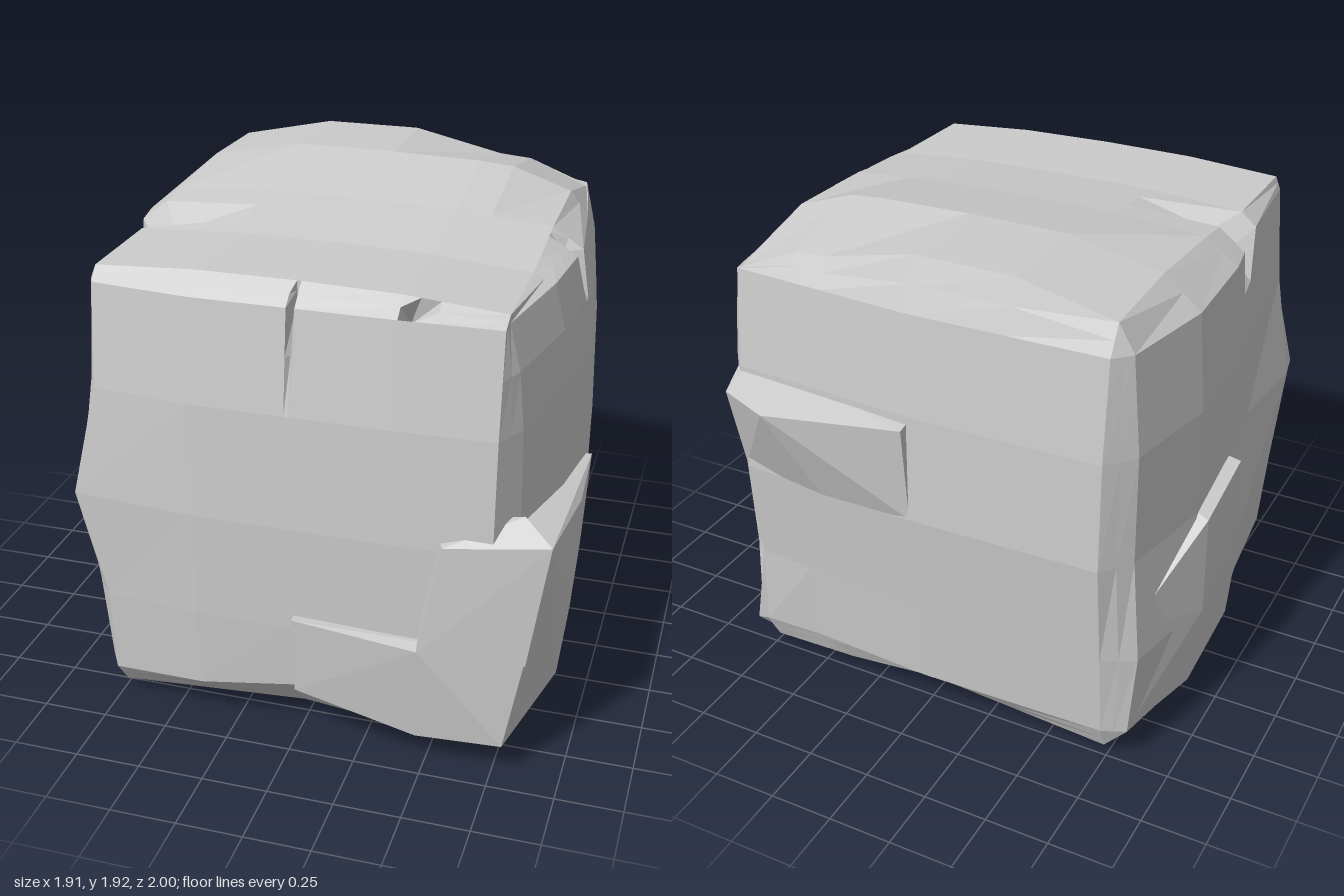
import * as THREE from 'three';
import { ConvexGeometry } from 'three/addons/geometries/ConvexGeometry.js';

// Grid lines of the block; the outermost entries stand for the worn edges
const LINES = [
  [-1, -0.74, -0.37, -0.015, 0, 0.015, 0.37, 0.43, 0.5, 0.73, 1],
  [0, 0.15, 0.5, 0.92, 1.35, 1.56, 1.73, 2],
  [-1, -0.75, -0.37, 0.03, 0.08, 0.11, 0.16, 0.28, 0.4, 0.8, 1],
];

// Piecewise linear profile through [position, value] pairs
function profile(points, t) {
  if (t <= points[0][0]) return points[0][1];
  for (let i = 1; i < points.length; i++) {
    const [a, va] = points[i - 1], [b, vb] = points[i];
    if (t <= b) return va + (vb - va) * (t - a) / (b - a);
  }
  return points[points.length - 1][1];
}

// Each face is the sum of two profiles: [axis, profile], [axis, profile]
const FACES = {
  right: [[1, [[0.15, 0.88], [0.5, 0.9], [0.92, 0.92], [1.35, 0.91], [1.56, 0.89], [1.73, 0.85]]],
    [2, [[-0.75, -0.11], [-0.37, -0.05], [0, 0], [0.4, -0.04], [0.8, -0.12]]]],
  left: [[1, [[0.15, -0.9], [0.5, -0.93], [0.92, -0.9], [1.35, -0.9], [1.73, -0.87]]],
    [2, [[-0.75, 0.07], [-0.37, -0.01], [0, 0], [0.4, 0.07], [0.8, 0.11]]]],
  top: [[0, [[-0.74, 1.81], [-0.37, 1.83], [0, 1.83], [0.37, 1.82], [0.73, 1.79]]],
    [2, [[-0.75, 0.085], [-0.37, 0.09], [0, 0.02], [0.4, -0.03], [0.8, -0.03]]]],
  bottom: [[0, [[-0.74, 0.02], [0, 0.07], [0.37, 0.03], [0.73, 0.02]]],
    [2, [[-0.75, 0.03], [-0.37, 0.03], [0, -0.02], [0.4, 0], [0.8, 0.02]]]],
  front: [[1, [[0.15, 0.92], [0.5, 0.94], [0.92, 0.95], [1.35, 0.93], [1.73, 0.88]]],
    [0, [[-0.74, -0.04], [-0.37, 0], [0.37, 0], [0.73, -0.01]]]],
  back: [[1, [[0.15, -0.81], [0.5, -0.84], [0.92, -0.88], [1.35, -0.87], [1.73, -0.83]]],
    [0, [[-0.74, 0.02], [-0.37, 0.01], [0, 0], [0.73, 0.04]]]],
};
const FACE_NAMES = [['left', 'right'], ['bottom', 'top'], ['back', 'front']];

// Cracks and chips: centre, radius, push
const CHIPS = [
  [[0, 1.765, 0.84], 0.012, [0, -0.1, -0.15]],       // front crack
  [[0, 1.73, 0.88], 0.012, [0, 0, -0.08]],
  [[0, 1.56, 0.903], 0.012, [0, 0, -0.02]],
  [[0.43, 1.76, 0.84], 0.04, [-0.04, -0.08, -0.06]], // front chip
  [[0.785, 1.76, 0.08], 0.02, [-0.06, -0.08, 0]],    // right crack
  [[0.84, 1.73, 0.08], 0.02, [-0.06, 0, 0]],
  [[-0.78, 1.76, 0.28], 0.06, [0.08, -0.06, 0]],     // left chip
  [[-0.74, 0.92, 0.91], 0.03, [-0.1, 0, 0]],         // left front corner
  [[-0.765, 0.92, 0.855], 0.03, [-0.1, 0, 0]],
  [[-0.79, 0.92, 0.8], 0.03, [-0.07, 0, 0]],
  [[0.755, 0.5, -0.775], 0.03, [-0.04, 0, 0]],       // right back corner
  [[0.75, 0.15, -0.76], 0.03, [0.02, 0, -0.02]],
  [[0.73, 1.875, -0.75], 0.04, [0, -0.15, 0]],       // sunken back corners of the top
  [[0.73, 1.88, -0.37], 0.04, [0, -0.06, 0]],
  [[0.43, 1.9, -0.75], 0.1, [0, -0.07, 0]],
  [[-0.74, 1.895, -0.75], 0.04, [0, -0.06, 0]],
  [[-0.74, 1.9, -0.37], 0.04, [0, -0.05, 0]],
];

function blockPoint(index) {
  const ends = [0, 1, 2].filter(a => index[a] === 0 || index[a] === LINES[a].length - 1);
  // Edges and corners sit halfway between their neighbours, which makes a chamfer
  if (ends.length > 1) {
    const sum = new THREE.Vector3();
    for (const a of ends) {
      const inner = [...index];
      inner[a] += inner[a] === 0 ? 1 : -1;
      sum.add(blockPoint(inner));
    }
    return sum.divideScalar(ends.length);
  }
  const axis = ends[0], p = index.map((n, a) => LINES[a][n]);
  const name = FACE_NAMES[axis][index[axis] === 0 ? 0 : 1];
  p[axis] = FACES[name].reduce((s, [a, pts]) => s + profile(pts, p[a]), 0);
  // Arched lower edge on the front
  if (name === 'front' && index[1] === 1) p[1] += 0.09 * Math.max(0, 1 - Math.abs(p[0]) / 0.55);
  const point = new THREE.Vector3(...p);
  return chip(point);
}

// Push a point that lies inside a chip
function chip(point) {
  const start = point.clone();
  for (const [centre, radius, push] of CHIPS) {
    if (start.distanceTo(new THREE.Vector3(...centre)) < radius) point.add(new THREE.Vector3(...push));
  }
  return point;
}

function blockGeometry() {
  const seg = LINES.map(l => l.length - 1);
  const box = new THREE.BoxGeometry(2, 2, 2, ...seg);
  const pos = box.attributes.position;
  for (let i = 0; i < pos.count; i++) {
    const index = [pos.getX(i), pos.getY(i), pos.getZ(i)].map((c, a) => Math.round((c + 1) / 2 * seg[a]));
    const p = blockPoint(index);
    // Face points are chipped already; edge points still need it
    if (index.filter((n, a) => n === 0 || n === seg[a]).length > 1) chip(p);
    pos.setXYZ(i, p.x, p.y, p.z);
  }
  const flat = box.toNonIndexed();
  flat.computeVertexNormals();
  return flat;
}

// Raised slabs of rock, each the hull of a few points
const LEDGES = {
  frontLowerLedge: [[0.01, 0.24, 0.95], [0.01, 0.56, 0.975], [0.48, 0.53, 1], [0.47, 0.13, 0.95],
    [0.79, 0.14, 0.94], [0.86, 0.53, 0.935], [0.01, 0.25, 0.8], [0.01, 0.56, 0.8], [0.75, 0.53, 0.7], [0.7, 0.16, 0.7]],
  frontCornerLedge: [[0.48, 0.52, 1], [0.56, 0.95, 0.975], [0.93, 0.98, 0.92], [0.86, 0.5, 0.935],
    [0.49, 0.96, 0.8], [0.82, 1.05, 0.85], [0.48, 0.5, 0.7], [0.75, 0.5, 0.7]],
  rightLedge: [[0.93, 0.98, 0.92], [0.955, 0.92, 0.45], [0.935, 0.92, 0.07], [0.91, 0.5, 0.05],
    [0.945, 0.5, 0.5], [0.79, 0.14, 0.94], [0.91, 0.19, 0.5], [0.88, 0.14, 0.05], [0.7, 0.92, 0.07],
    [0.7, 1, 0.8], [0.7, 0.14, 0.05], [0.7, 0.16, 0.7]],
  backLedge: [[0, 1.31, -0.91], [0.53, 1.28, -1], [0.72, 1.3, -0.94], [0, 0.92, -0.875], [0.37, 0.92, -0.88],
    [0.75, 0.92, -0.82], [0, 1.34, -0.75], [0.72, 1.36, -0.73], [0.8, 1.32, -0.72], [0.78, 0.92, -0.72],
    [0, 0.92, -0.7]],
  leftLedge: [[-0.83, 0.64, -0.76], [-0.96, 0.5, -0.37], [-0.955, 0.9, -0.36], [-0.945, 0.95, 0],
    [-0.93, 0.5, 0.1], [-0.92, 0.15, -0.37], [-0.83, 0.16, -0.74], [-0.9, 0.15, 0.1], [-0.7, 0.65, -0.7],
    [-0.7, 0.98, -0.3], [-0.7, 1, 0], [-0.7, 0.16, 0], [-0.7, 0.16, -0.6]],
};

export function createModel() {
  const group = new THREE.Group();
  group.name = 'stoneBlock';
  const stone = new THREE.MeshStandardMaterial({ color: 0xcccccc, flatShading: true });
  const add = (name, geometry) => {
    const mesh = new THREE.Mesh(geometry, stone);
    mesh.name = name;
    group.add(mesh);
  };
  add('block', blockGeometry());
  for (const [name, points] of Object.entries(LEDGES)) {
    add(name, new ConvexGeometry(points.map(p => new THREE.Vector3(...p))));
  }
  return group;
}
